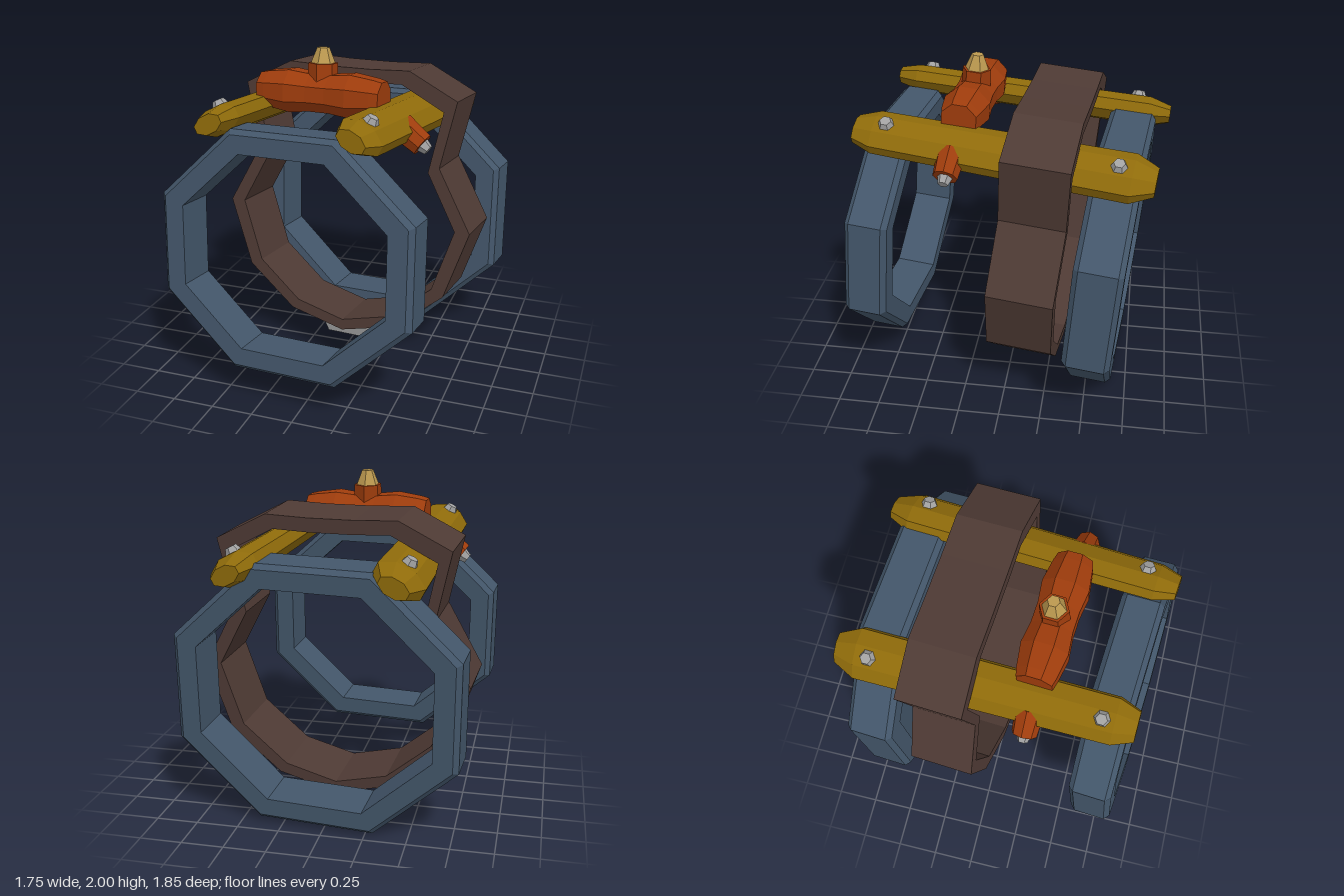
import * as THREE from 'three';

const material = (name, color) => {
  const m = new THREE.MeshStandardMaterial({ color });
  m.name = name;
  return m;
};

export function createModel() {
  const steel = material('steel blue', 0x43566a);
  const brown = material('dark brown', 0x4e3a34);
  const gold = material('old gold', 0x8f6b0a);
  const orange = material('burnt orange', 0x9e3c0c);
  const grey = material('bolt grey', 0xa2a2a2);
  const tan = material('pale brass', 0xbd9a50);

  // Adds a faceted mesh to a parent
  const add = (parent, name, geometry, mat, x = 0, y = 0, z = 0) => {
    const g = geometry.index ? geometry.toNonIndexed() : geometry;
    g.computeVertexNormals();
    const mesh = new THREE.Mesh(g, mat);
    mesh.name = name;
    mesh.position.set(x, y, z);
    parent.add(mesh);
    return mesh;
  };

  // Eight-sided turned shape; profile pairs are [apothem, height]
  const turned = (profile) => new THREE.LatheGeometry(
    profile.map(([r, h]) => new THREE.Vector2(r / Math.cos(Math.PI / 8), h)), 8, Math.PI / 8);

  const model = new THREE.Group();
  model.name = 'ringFrame';
  const frame = new THREE.Group();
  frame.name = 'tiltedFrame';
  frame.position.set(-0.04, 0.9, 0);
  frame.rotation.set(-0.075, -0.08, 0);
  model.add(frame);

  // Octagonal rings with chamfered outer edges
  const ring = (name, w, h, depth, x, y, z) => {
    const d = depth / 2, c = 0.03, inner = w - 0.145;
    const g = turned([[inner, -d], [w - c, -d], [w, -d + c], [w, d - c], [w - c, d], [inner, d], [inner, -d]]);
    g.rotateX(Math.PI / 2);
    g.scale(1, h / w, 1);
    add(frame, name, g, steel, x, y, z).rotation.z = 0.012;
  };
  ring('frontRing', 0.77, 0.71, 0.25, 0.003, -0.04, 0.73);
  ring('backRing', 0.835, 0.783, 0.28, 0.023, -0.045, -0.612);

  // Broad wavy band between the rings
  const half = [[0.14, 0.925], [0.39, 0.935], [0.695, 0.78], [0.605, 0.37],
    [0.815, -0.01], [0.67, -0.44], [0.36, -0.70]];
  const outline = [...half, [0, -0.79], ...half.map(([x, y]) => [-x, y]).reverse()];
  const toPoints = (kx, ky) => outline.map(([x, y]) => new THREE.Vector2(x * kx, y * ky));
  const bandShape = new THREE.Shape(toPoints(1, 1).reverse());
  bandShape.holes.push(new THREE.Path(toPoints(0.885, 0.91)));
  add(frame, 'band', new THREE.ExtrudeGeometry(bandShape, { depth: 0.39, bevelEnabled: false }),
    brown, 0.01, 0, -0.39);

  for (const s of [-1, 1]) {
    const side = s > 0 ? 'left' : 'right';

    // Long sloping beam with tapered ends and two bolts
    const beam = new THREE.Group();
    beam.name = side + 'BeamAssembly';
    beam.position.set(s * 0.445, 0.69, 0);
    beam.rotation.set(0, -s * 0.025, -s * 0.48);
    frame.add(beam);
    const g = turned([[0, -0.83], [0.085, -0.83], [0.145, -0.70], [0.13, 0.78], [0.085, 0.90], [0, 0.90]]);
    g.rotateX(Math.PI / 2);
    g.scale(1, 0.6, 1);
    add(beam, side + 'Beam', g, gold);
    for (const [x, y, z] of [[0, 0.095, -0.62], [-0.01, 0.085, 0.71]]) {
      add(beam, side + 'BeamBolt', new THREE.CylinderGeometry(0.033, 0.055, 0.05, 6), grey, s * x, y, z);
    }

    // Pin poking out below the beam, closed by a nut
    const pin = new THREE.Group();
    pin.name = side + 'PinAssembly';
    pin.position.set(s * 0.545, 0.625, 0.315);
    pin.rotation.z = -s * (Math.PI / 2 + 0.62);
    frame.add(pin);
    add(pin, side + 'Pin', new THREE.CylinderGeometry(0.072, 0.085, 0.16, 8), orange);
    add(pin, side + 'PinNut', new THREE.CylinderGeometry(0.03, 0.045, 0.05, 6), grey, 0, 0.1, 0);
  }

  // Lumpy crossbar with a collar and a blunt tip on top
  const bar = turned([[0, -0.38], [0.098, -0.38], [0.11, -0.33], [0.13, -0.19], [0.115, -0.06],
    [0.115, 0.06], [0.13, 0.19], [0.11, 0.33], [0.098, 0.38], [0, 0.38]]);
  bar.rotateZ(-Math.PI / 2);
  bar.scale(1, 0.95, 1.03);
  add(frame, 'crossbar', bar, orange, -0.01, 0.817, 0.315);
  add(frame, 'collar', new THREE.CylinderGeometry(0.085, 0.09, 0.14, 6), orange, -0.01, 0.92, 0.315);
  add(frame, 'tip', new THREE.CylinderGeometry(0.035, 0.075, 0.1, 6), tan, -0.01, 1.027, 0.315);

  // Tapered foot block and its small stud under the band
  const foot = new THREE.BoxGeometry(0.35, 0.1, 0.27);
  const p = foot.attributes.position;
  for (let i = 0; i < p.count; i++) {
    if (p.getY(i) < 0) p.setXYZ(i, p.getX(i) * 0.8, p.getY(i), p.getZ(i) * 0.82);
  }
  add(frame, 'foot', foot, grey, 0.02, -0.8, -0.19);
  add(frame, 'footStud', new THREE.BoxGeometry(0.15, 0.045, 0.05), orange, 0.02, -0.861, -0.19);

  return model;
}
